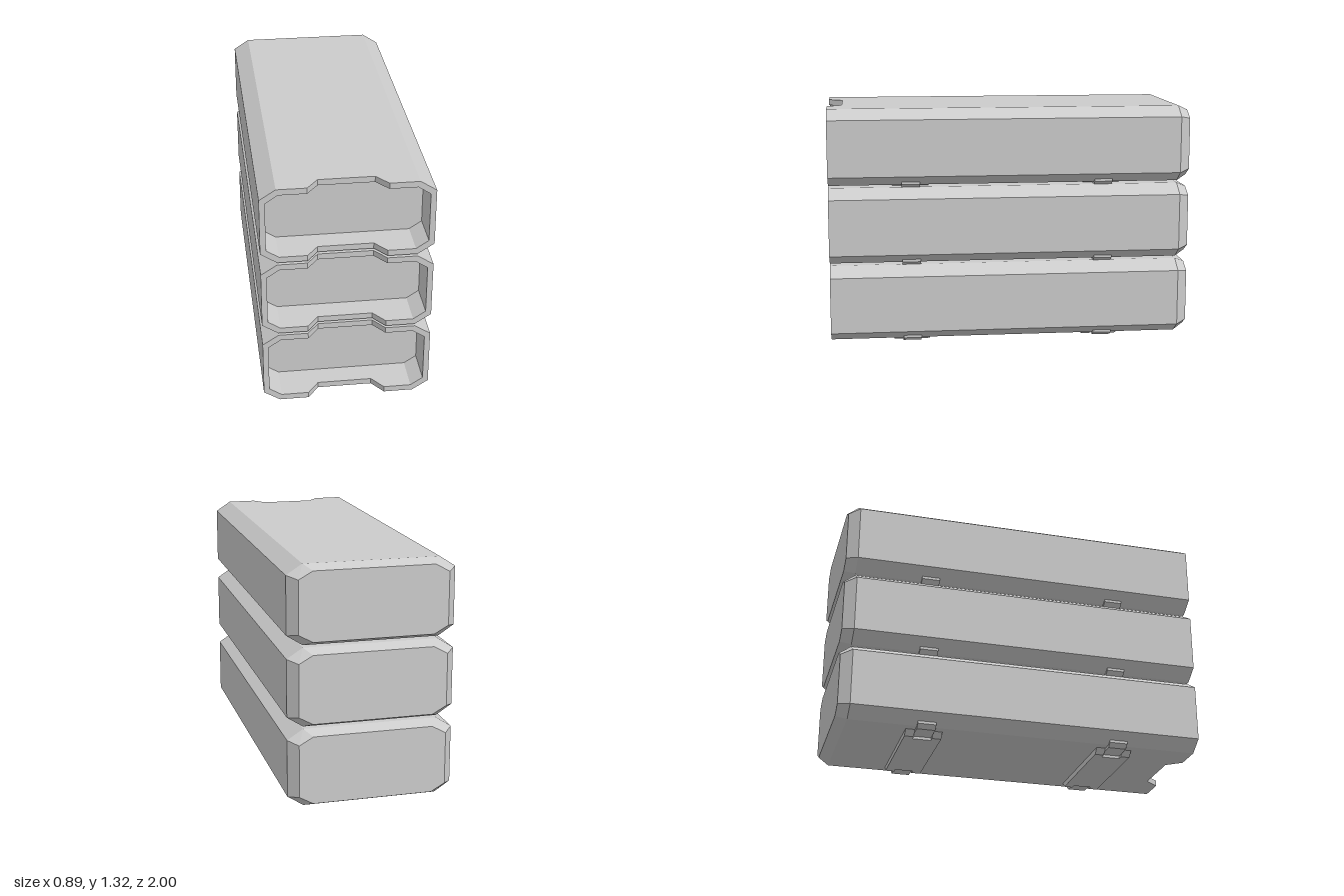
import * as THREE from 'three';

const mat = new THREE.MeshStandardMaterial({ color: 0xcccccc, flatShading: true });
const PITCH = 0.433;

// Counter-clockwise chamfered rectangle: half width, bottom, top, chamfer dx / dy
function octagon(w, y0, y1, dx, dy) {
  return [
    [w, y0 + dy], [w, y1 - dy], [w - dx, y1], [dx - w, y1],
    [-w, y1 - dy], [-w, y0 + dy], [dx - w, y0], [w - dx, y0],
  ];
}

const outer = octagon(0.445, 0.03, 0.45, 0.085, 0.055);
const inner = octagon(0.415, 0.062, 0.418, 0.065, 0.043);
const rear = octagon(0.395, 0.057, 0.423, 0.075, 0.042);
const RECESS = 0.8;   // z of the panel inside the opening
const NOTCH = 0.205;  // half width of the finger notch at the rim

const toShape = (pts) => new THREE.Shape(pts.map(([x, y]) => new THREE.Vector2(x, y)));

function extrude(pts, z0, z1) {
  const g = new THREE.ExtrudeGeometry(toShape(pts), { depth: z1 - z0, bevelEnabled: false });
  return g.translate(0, 0, z0);
}

function add(group, name, geometry) {
  const mesh = new THREE.Mesh(geometry, mat);
  mesh.name = name;
  group.add(mesh);
}

// Shell lofted through rings running from back to front, closed at the back
function loft(rings) {
  const pos = [];
  const n = rings[0].pts.length;
  const put = (r, i) => pos.push(...r.pts[i % n], r.z);
  for (let k = 0; k < rings.length - 1; k++) {
    const a = rings[k], b = rings[k + 1];
    for (let i = 0; i < n; i++) {
      put(a, i); put(a, i + 1); put(b, i + 1);
      put(a, i); put(b, i + 1); put(b, i);
    }
  }
  for (let i = 1; i < n - 1; i++) {
    put(rings[0], 0); put(rings[0], i + 1); put(rings[0], i);
  }
  const g = new THREE.BufferGeometry();
  g.setAttribute('position', new THREE.Float32BufferAttribute(pos, 3));
  g.computeVertexNormals();
  return g;
}

// Horizontal rim panel with a trapezoid notch cut from its front edge
function rimPanel(y0, y1) {
  const g = extrude([
    [-NOTCH, RECESS], [NOTCH, RECESS], [NOTCH, 1],
    [0.145, 0.92], [-0.145, 0.92], [-NOTCH, 1],
  ], 0, y1 - y0);
  return g.rotateX(Math.PI / 2).translate(0, y1, 0);
}

// Pad under the box with sloped ends, prongs around a narrower middle, and clips
function makeFoot(z) {
  const foot = new THREE.Group();
  foot.name = 'foot';
  const pad = (bottom, top) => [[-bottom, 0], [bottom, 0], [top, 0.03], [-top, 0.03]];
  add(foot, 'padMiddle', extrude(pad(0.25, 0.25), z - 0.05, z + 0.05));
  for (const s of [-1, 1]) {
    const zc = z + s * 0.075;
    add(foot, 'padProngs', extrude(pad(0.28, 0.31), zc - 0.025, zc + 0.025));
    const clip = [[0.25, 0.015], [0.36, 0.015], [0.39, 0.035], [0.39, 0.051], [0.36, 0.031], [0.25, 0.031]];
    add(foot, 'clip', extrude(clip.map(([x, y]) => [s * x, y]), z - 0.05, z + 0.05));
  }
  return foot;
}

function makeBox() {
  const box = new THREE.Group();
  box.name = 'box';

  // Closed body with a tapered back
  add(box, 'body', loft([
    { pts: rear, z: -1 }, { pts: outer, z: -0.94 }, { pts: outer, z: RECESS },
  ]));
  add(box, 'recessPanel', new THREE.ShapeGeometry(toShape(inner)).translate(0, 0, RECESS));

  // Front rim: one C-shaped wall each side, notched panels between
  const half = [
    [NOTCH, 0.03], outer[7], outer[0], outer[1], outer[2], [NOTCH, 0.45],
    [NOTCH, 0.418], inner[2], inner[1], inner[0], inner[7], [NOTCH, 0.062],
  ];
  for (const s of [-1, 1]) {
    add(box, 'rimSide', extrude(half.map(([x, y]) => [s * x, y]), RECESS, 1));
  }
  add(box, 'rimTop', rimPanel(0.418, 0.45));
  add(box, 'rimBottom', rimPanel(0.03, 0.062));

  box.add(makeFoot(0.55), makeFoot(-0.52));
  return box;
}

export function createModel() {
  const model = new THREE.Group();
  model.name = 'stackedBoxes';
  for (let i = 0; i < 3; i++) {
    const box = makeBox();
    box.position.y = i * PITCH;
    model.add(box);
  }
  return model;
}
